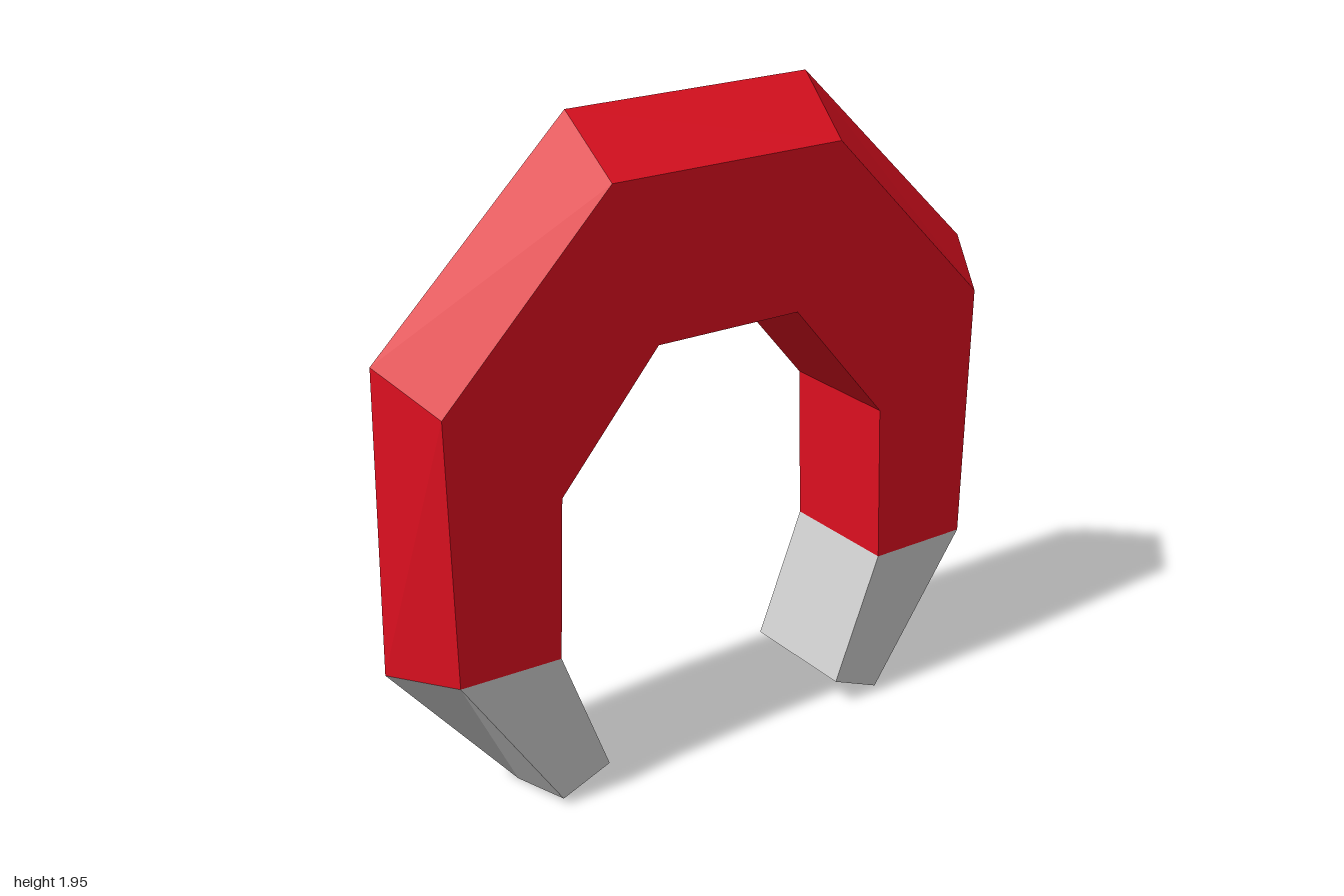
import * as THREE from 'three';

const HALF_DEPTH = 0.195;

// Stations along the left half: inner edge, outer edge and ridge as [x, y]
const HALF = [
  [[0.41, 0.085], [0.565, 0.022], [0.6, 0]],      // pole end
  [[0.56, 0.47], [0.875, 0.475], [1, 0.467]],     // colour joint
  [[0.545, 0.95], [0.893, 1.255], [0.99, 1.36]],  // shoulder
  [[0.233, 1.32], [0.373, 1.79], [0.393, 1.947]], // crown
];

// Five-sided section: flat front, back and inside, ridged outside
function ring([inner, outer, ridge], side) {
  const at = ([x, y], z) => [x * side, y, z];
  return [
    at(inner, HALF_DEPTH), at(outer, HALF_DEPTH), at(ridge, 0),
    at(outer, -HALF_DEPTH), at(inner, -HALF_DEPTH),
  ];
}

// Skin consecutive rings; flipSide is the side whose quads use the other diagonal
function loft(rings, { capStart = false, capEnd = false, flipSide = -1 } = {}) {
  const pos = [];
  const tri = (...points) => points.forEach((p) => pos.push(...p));
  for (let i = 0; i < rings.length - 1; i++) {
    for (let j = 0; j < 5; j++) {
      const k = (j + 1) % 5;
      const a = rings[i][j], b = rings[i][k], c = rings[i + 1][k], d = rings[i + 1][j];
      if (j === flipSide) { tri(a, b, d); tri(b, c, d); }
      else { tri(a, b, c); tri(a, c, d); }
    }
  }
  const first = rings[0], last = rings[rings.length - 1];
  for (let j = 1; j < 4; j++) {
    if (capStart) tri(first[0], first[j + 1], first[j]);
    if (capEnd) tri(last[0], last[j], last[j + 1]);
  }
  const geometry = new THREE.BufferGeometry();
  geometry.setAttribute('position', new THREE.Float32BufferAttribute(pos, 3));
  geometry.computeVertexNormals();
  return geometry;
}

export function createModel() {
  const group = new THREE.Group();
  group.name = 'horseshoeMagnet';

  const red = new THREE.MeshStandardMaterial({ color: 0xe01020, flatShading: true });
  const grey = new THREE.MeshStandardMaterial({ color: 0xcccccc, flatShading: true });

  // Rings run up the left leg, over the crown and down the right leg
  const rings = [
    ...HALF.map((s) => ring(s, 1)),
    ...[...HALF].reverse().map((s) => ring(s, -1)),
  ];

  const add = (name, geometry, material) => {
    const mesh = new THREE.Mesh(geometry, material);
    mesh.name = name;
    group.add(mesh);
  };

  add('arch', loft(rings.slice(1, 7)), red);
  add('leftPole', loft(rings.slice(0, 2), { capStart: true, flipSide: 1 }), grey);
  add('rightPole', loft(rings.slice(6), { capEnd: true, flipSide: 2 }), grey);

  return group;
}
